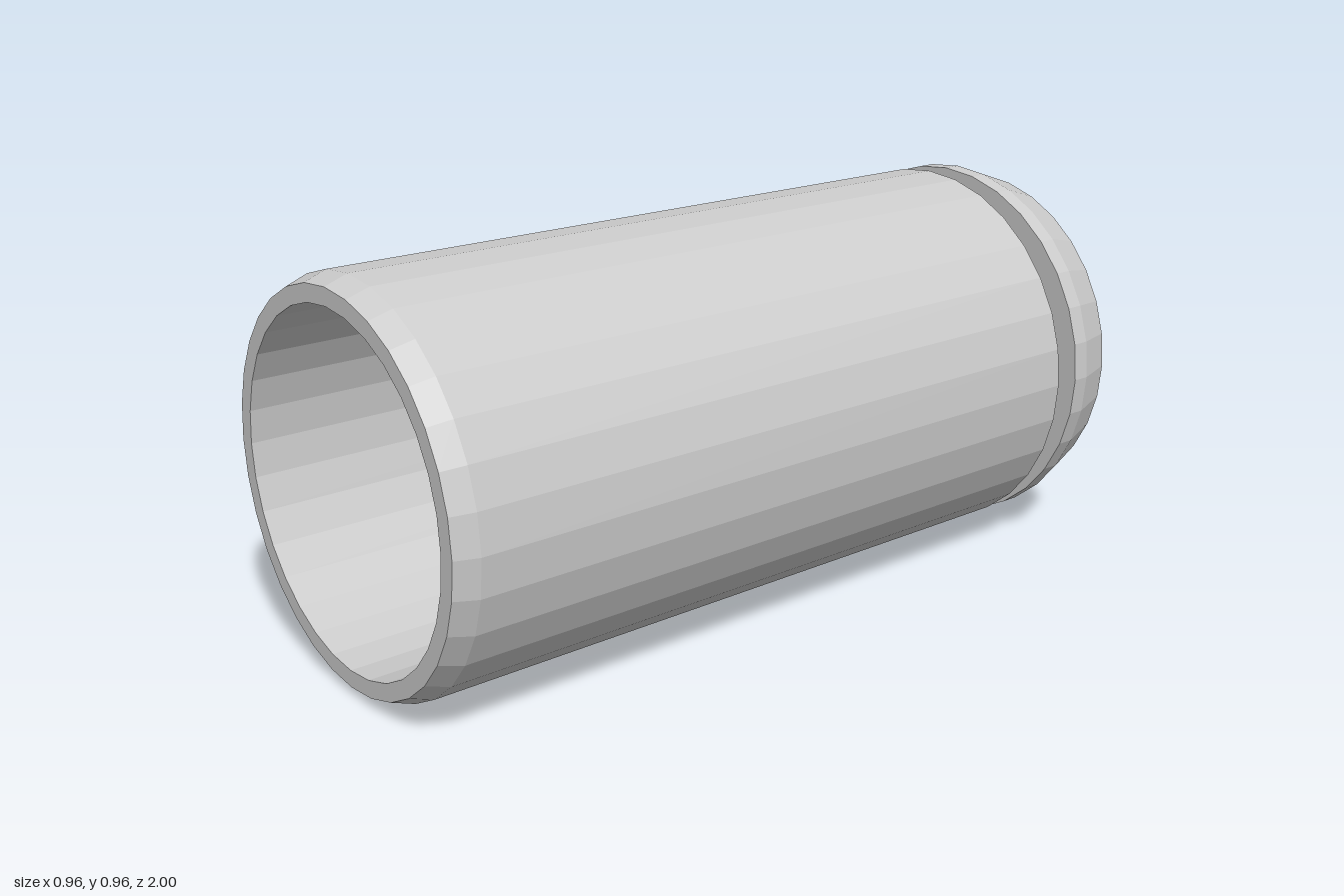
import * as THREE from 'three';

const SIDES = 32;
const R = 0.478; // outer radius, also the height of the axis

export function createModel() {
  const model = new THREE.Group();
  const material = new THREE.MeshStandardMaterial({ color: 0xcccccc, flatShading: true });

  // Revolve [radius, z] points around the z axis; points run back to front on the outside
  const turned = (name, profile) => {
    const points = profile.map(([r, z]) => new THREE.Vector2(r, z));
    const geometry = new THREE.LatheGeometry(points, SIDES).rotateX(Math.PI / 2);
    const mesh = new THREE.Mesh(geometry, material);
    mesh.name = name;
    mesh.position.y = R;
    model.add(mesh);
  };

  // Shallow round recess in the back face
  turned('backRecess', [[0, -0.955], [0.13, -0.955], [0.13, -1]]);

  // Bevelled rim at the back
  turned('backRim', [[0.13, -1], [0.44, -1], [R, -0.89], [R, -0.845], [0.405, -0.845]]);

  // Groove between rim and body
  turned('groove', [[0.405, -0.845], [0.405, -0.78]]);

  // Outer wall with a small bevel at the mouth
  turned('outerWall', [[0.405, -0.78], [R, -0.78], [R, 0.945], [0.458, 1], [0.416, 1]]);

  // Open hollow with a flat floor
  turned('innerWall', [[0.416, 1], [0.416, -0.72], [0, -0.72]]);

  return model;
}
